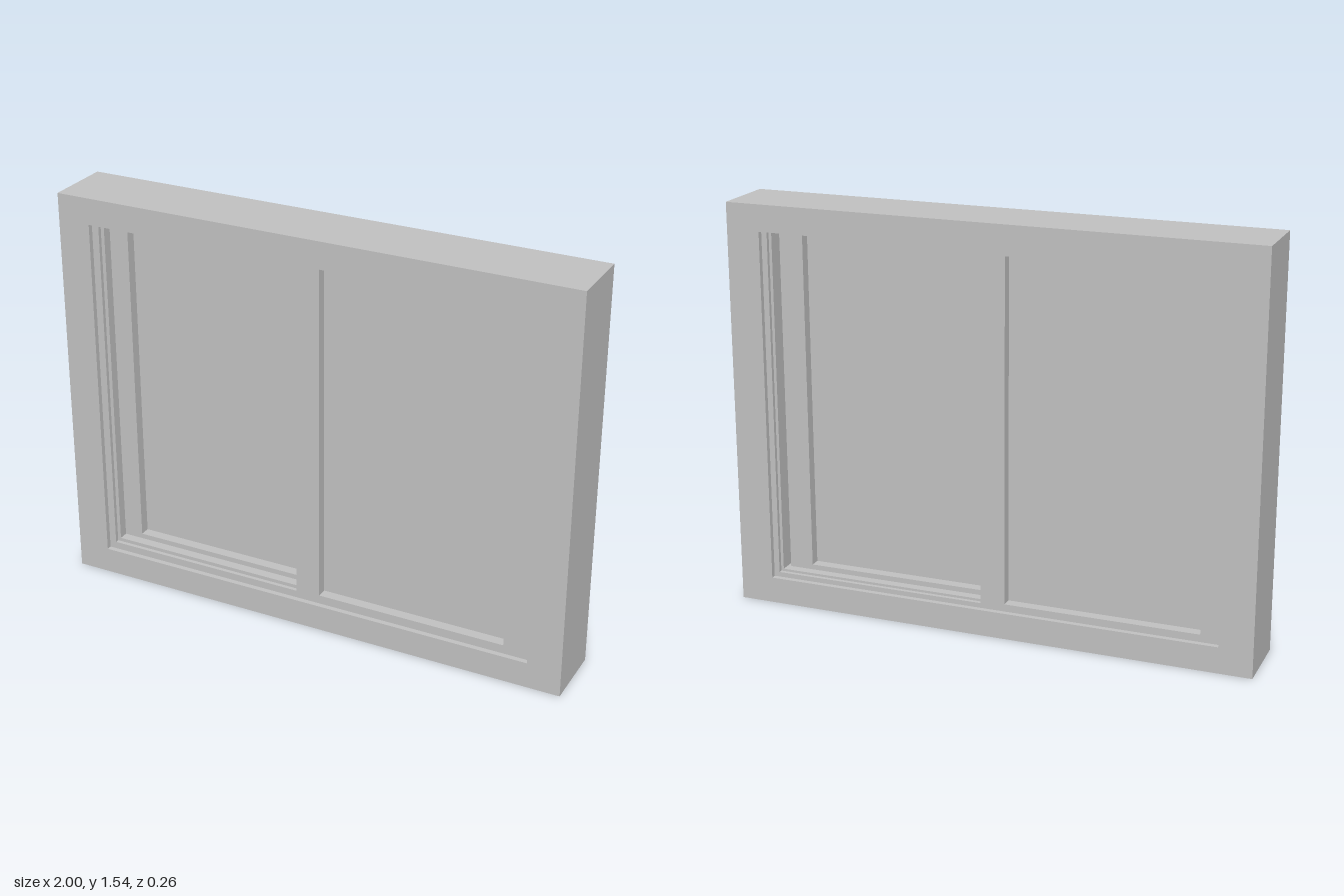
import * as THREE from 'three';

const grey = new THREE.MeshStandardMaterial({ color: 0xc0c0c0 });
grey.name = 'grey';

function rect(target, x0, x1, y0, y1) {
  target.moveTo(x0, y0);
  target.lineTo(x1, y0);
  target.lineTo(x1, y1);
  target.lineTo(x0, y1);
  target.closePath();
  return target;
}

// Rectangular ring extruded from z0 to z1
function ring(name, outer, inner, z0, z1) {
  const shape = rect(new THREE.Shape(), ...outer);
  shape.holes.push(rect(new THREE.Path(), ...inner));
  const geo = new THREE.ExtrudeGeometry(shape, { depth: z1 - z0, bevelEnabled: false });
  geo.translate(0, 0, z0);
  const mesh = new THREE.Mesh(geo, grey);
  mesh.name = name;
  return mesh;
}

function box(name, x0, x1, y0, y1, z0, z1) {
  const mesh = new THREE.Mesh(new THREE.BoxGeometry(x1 - x0, y1 - y0, z1 - z0), grey);
  mesh.position.set((x0 + x1) / 2, (y0 + y1) / 2, (z0 + z1) / 2);
  mesh.name = name;
  return mesh;
}

// Sliding sash: ring of stiles and rails with a recessed pane
function sash(name, x0, x1, paneX0, paneX1, z0, z1) {
  const group = new THREE.Group();
  group.name = name;
  const mid = (z0 + z1) / 2;
  group.add(
    ring('sashFrame', [x0, x1, 0.1, 1.44], [paneX0, paneX1, 0.12, 1.42], z0, z1),
    box('pane', paneX0 - 0.005, paneX1 + 0.005, 0.115, 1.425, mid - 0.005, mid + 0.005)
  );
  return group;
}

export function createModel() {
  const model = new THREE.Group();
  model.name = 'slidingWindow';

  // Outer frame: slices along the depth, the wider openings forming the tracks
  const frame = new THREE.Group();
  frame.name = 'outerFrame';
  const cuts = [-0.13, -0.11, -0.07, -0.055, -0.035, 0.035, 0.055, 0.07, 0.11, 0.13];
  for (let i = 0; i < cuts.length - 1; i++) {
    const d = i % 2 ? 0.03 : 0;
    frame.add(ring(i % 2 ? 'track' : 'frameRib', [-1, 1, 0, 1.54],
      [-0.874 - d, 0.872 + d, 0.1 - d, 1.44 + d], cuts[i], cuts[i + 1]));
  }
  model.add(frame);

  // Front sash stands slightly open, rear sash is closed against the jamb
  model.add(sash('frontSash', -0.065, 0.858, 0.03, 0.765, 0, 0.09));
  model.add(sash('rearSash', -0.874, 0.034, -0.798, -0.06, -0.092, -0.002));

  // Latch on the meeting edge of the front sash
  const latch = new THREE.Group();
  latch.name = 'latch';
  latch.add(box('latchPlate', -0.082, -0.064, 0.7, 0.86, 0.03, 0.06));
  const lever = new THREE.Shape();
  lever.moveTo(-0.08, 0.7);
  lever.lineTo(-0.097, 0.7);
  lever.lineTo(-0.095, 0.74);
  lever.quadraticCurveTo(-0.102, 0.79, -0.08, 0.84);
  lever.closePath();
  const leverGeo = new THREE.ExtrudeGeometry(lever, { depth: 0.02, bevelEnabled: false });
  leverGeo.translate(0, 0, 0.035);
  const leverMesh = new THREE.Mesh(leverGeo, grey);
  leverMesh.name = 'latchLever';
  latch.add(leverMesh);
  model.add(latch);

  return model;
}
